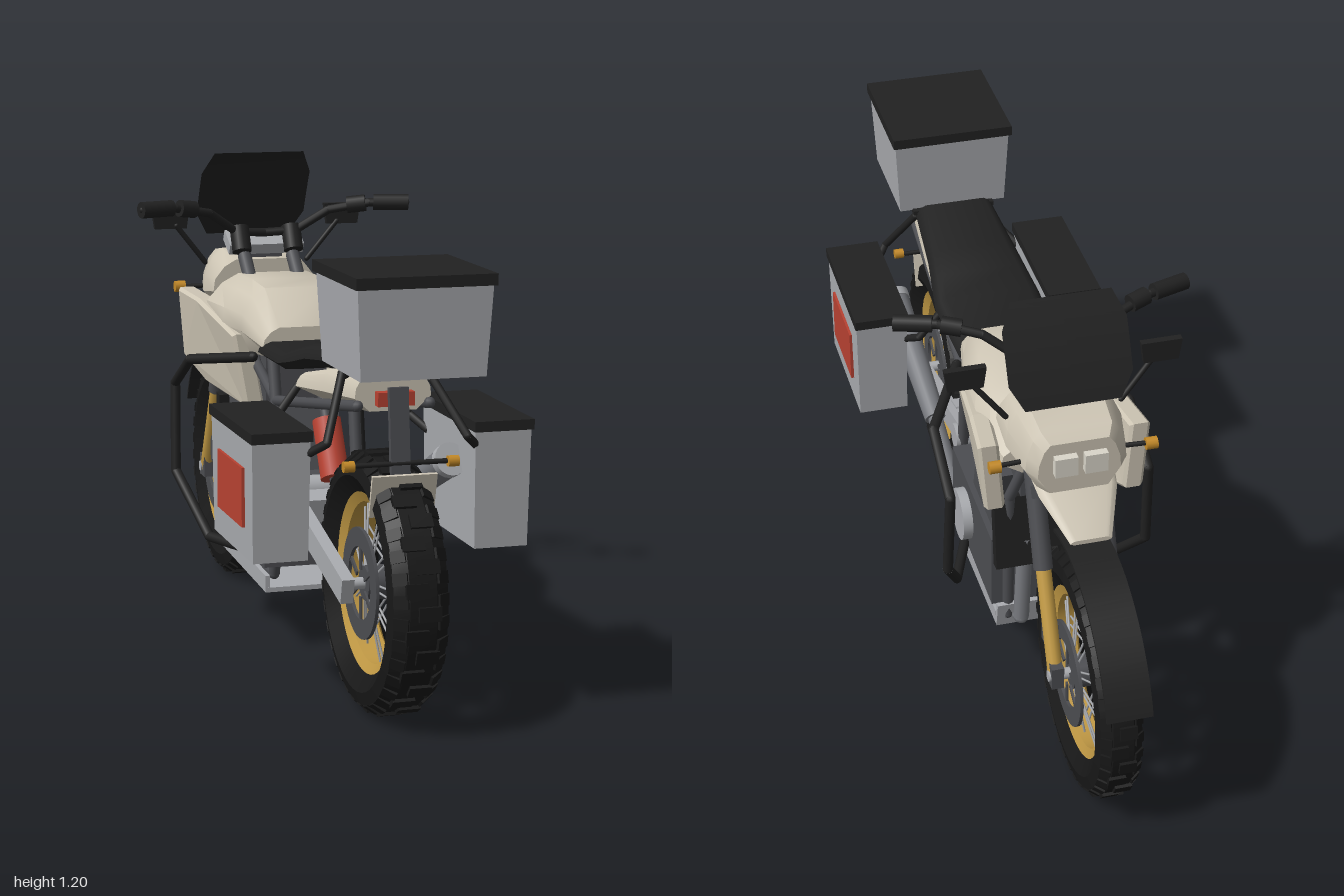
import * as THREE from 'three';
import { mergeGeometries, toCreasedNormals } from 'three/addons/utils/BufferGeometryUtils.js';

const V = (x, y, z) => new THREE.Vector3(x, y, z);
const mat = (name, color, side = THREE.FrontSide) => Object.assign(new THREE.MeshStandardMaterial({ color, side }), { name });

export function createModel() {
  const root = new THREE.Group();
  root.name = 'motorcycle';
  const M = {
    rubber: mat('tyre rubber', 0x181818),
    black: mat('black plastic', 0x212121, THREE.DoubleSide),
    cream: mat('cream paint', 0xcdc5b4),
    alloy: mat('aluminium', 0xa9abaf),
    steel: mat('steel', 0x77797e),
    dark: mat('dark metal', 0x4c4d51),
    gold: mat('gold', 0xc29a45),
    red: mat('red', 0xb84232),
    amber: mat('amber', 0xc48a28),
    lamp: mat('lamp glass', 0xdad6ca),
  };

  // helpers
  const add = (name, geo, m, parent = root) => {
    const mesh = new THREE.Mesh(geo, m);
    mesh.name = name;
    parent.add(mesh);
    return mesh;
  };
  const mirrored = (geo) => {
    const g = geo.index ? geo.toNonIndexed() : geo.clone();
    for (const key of ['position', 'normal']) {
      const a = g.attributes[key];
      for (let i = 0; i < a.count; i += 3) {
        const p = [0, 2, 1].map((k) => [-a.getX(i + k), a.getY(i + k), a.getZ(i + k)]);
        p.forEach((q, k) => a.setXYZ(i + k, ...q));
      }
    }
    return g;
  };
  const pair = (name, geo, m) => { add(name + 'Left', geo, m); add(name + 'Right', mirrored(geo), m); };
  const box = (w, h, d, x, y, z, rx = 0) => new THREE.BoxGeometry(w, h, d).rotateX(rx).translate(x, y, z);
  const rod = (a, b, r, r2 = r, seg = 12) => {
    const d = b.clone().sub(a);
    const q = new THREE.Quaternion().setFromUnitVectors(V(0, 1, 0), d.clone().normalize());
    const c = a.clone().add(b).multiplyScalar(0.5);
    return new THREE.CylinderGeometry(r2, r, d.length(), seg).applyQuaternion(q).translate(c.x, c.y, c.z);
  };
  // chain of straight tubes with ball joints
  const pipe = (pts, r) => {
    const v = pts.map((p) => V(...p)), gs = [];
    v.forEach((p, i) => {
      if (i) gs.push(rod(v[i - 1], p, r, r, 10));
      gs.push(new THREE.SphereGeometry(r, 10, 6).translate(p.x, p.y, p.z));
    });
    return mergeGeometries(gs);
  };
  // symmetric body from sections [z, yBottom, yTop, wBottom, wMid, wTop], z rising
  const loft = (secs, crease = 0.6) => {
    const rings = secs.map(([z, b, t, wb, wm, wt]) => {
      const h = t - b;
      const half = [[wb, b], [wm, b + h * 0.35], [wm * 0.97, b + h * 0.6], [(wm + wt) / 2, b + h * 0.86], [wt, t]];
      return [...half, ...half.slice().reverse().map(([x, y]) => [-x, y])].map(([x, y]) => [x, y, z]);
    });
    const pos = [], n = 10;
    const tri = (...ps) => ps.forEach((p) => pos.push(...p));
    for (let i = 0; i < rings.length - 1; i++) for (let j = 0; j < n; j++) {
      const k = (j + 1) % n, A = rings[i], B = rings[i + 1];
      tri(A[j], A[k], B[k]);
      tri(A[j], B[k], B[j]);
    }
    const F = rings[0], L = rings[rings.length - 1];
    for (let j = 1; j < n - 1; j++) { tri(F[0], F[j + 1], F[j]); tri(L[0], L[j], L[j + 1]); }
    const g = new THREE.BufferGeometry();
    g.setAttribute('position', new THREE.Float32BufferAttribute(pos, 3));
    g.computeVertexNormals();
    return toCreasedNormals(g, crease);
  };
  const taperBox = (w, h, d, s, x, y, z) => {
    const g = new THREE.BoxGeometry(w, h, d), p = g.attributes.position;
    for (let i = 0; i < p.count; i++) if (p.getY(i) < 0) p.setXYZ(i, p.getX(i) * s, p.getY(i), p.getZ(i) * s);
    g.computeVertexNormals();
    return g.translate(x, y, z);
  };
  const ring = (pts, seg = 48) => toCreasedNormals(
    new THREE.LatheGeometry([...pts, pts[0]].map(([r, x]) => new THREE.Vector2(r, x)), seg).rotateZ(Math.PI / 2), 0.5);
  const axle = (r, w, seg = 20) => new THREE.CylinderGeometry(r, r, w, seg).rotateZ(Math.PI / 2);

  // wheels
  const wheel = (name, z, w) => {
    const g = new THREE.Group();
    g.name = name;
    g.position.set(0, 0.307, z);
    root.add(g);
    add('tyre', ring([[0.208, -w * 0.6], [0.25, -w], [0.28, -w * 0.9], [0.299, -w * 0.45], [0.299, w * 0.45],
      [0.28, w * 0.9], [0.25, w], [0.208, w * 0.6]]), M.rubber, g);
    const blocks = [], spokes = [];
    for (let i = 0; i < 36; i++) {
      const a = (i / 36) * Math.PI * 2, s = i % 2 ? 1 : -1;
      blocks.push(box(w * 0.75, 0.012, 0.033, s * w * 0.2, 0.3, 0).rotateX(a));
      for (const t of [-1, 1]) blocks.push(new THREE.BoxGeometry(w * 0.5, 0.012, 0.028)
        .rotateZ(-t * 0.65).translate(t * w * 0.68, 0.287, 0).rotateX(a + 0.08));
      spokes.push(rod(V(s * 0.035, 0.035, 0), V(s * 0.008, 0.195, 0.02 * (i % 4 < 2 ? 1 : -1)), 0.0028, 0.0028, 5).rotateX(a));
    }
    add('treadBlocks', mergeGeometries(blocks), M.rubber, g);
    add('rim', ring([[0.187, -w * 0.45], [0.214, -w * 0.65], [0.214, w * 0.65], [0.187, w * 0.45]]), M.gold, g);
    add('spokes', mergeGeometries(spokes), M.alloy, g);
    add('hub', axle(0.04, 0.09), M.dark, g);
    add('axle', axle(0.014, 0.2), M.alloy, g);
    for (const s of [-1, 1]) {
      const x = s * 0.052;
      add('brakeDisc', ring([[0.085, x - 0.004], [0.13, x - 0.004], [0.13, x + 0.004], [0.085, x + 0.004]], 36), M.dark, g);
      const arms = [];
      for (let i = 0; i < 6; i++) arms.push(box(0.005, 0.06, 0.012, x, 0.062, 0).rotateX((i * Math.PI) / 3));
      add('discCarrier', mergeGeometries(arms), M.dark, g);
    }
  };
  wheel('frontWheel', -0.66, 0.055);
  wheel('rearWheel', 0.695, 0.07);

  // front fork and fender
  pair('forkUpper', rod(V(0.08, 0.88, -0.4), V(0.08, 0.54, -0.54), 0.024), M.dark);
  pair('forkLower', rod(V(0.08, 0.575, -0.525), V(0.08, 0.3, -0.66), 0.019), M.gold);
  pair('forkFoot', box(0.03, 0.06, 0.05, 0.08, 0.31, -0.655), M.dark);
  pair('brakeCaliper', box(0.03, 0.07, 0.05, 0.07, 0.37, -0.57), M.dark);
  add('forkBridge', box(0.19, 0.03, 0.06, 0, 0.72, -0.465, 0.4), M.dark);
  const arc = new THREE.Shape();
  arc.absarc(0.66, 0.31, 0.362, 0.36, 1.92, false);
  arc.absarc(0.66, 0.31, 0.354, 1.92, 0.36, true);
  add('frontFender', new THREE.ExtrudeGeometry(arc, { depth: 0.11, bevelEnabled: false, curveSegments: 24 })
    .rotateY(Math.PI / 2).translate(-0.055, 0, 0), M.black);

  // painted bodywork
  add('tank', loft([[-0.42, 0.74, 0.83, 0.1, 0.15, 0.07], [-0.36, 0.73, 0.86, 0.13, 0.17, 0.08], [-0.26, 0.73, 0.9, 0.14, 0.18, 0.09],
    [-0.12, 0.73, 0.902, 0.13, 0.17, 0.09], [-0.02, 0.73, 0.893, 0.12, 0.148, 0.085], [0.1, 0.735, 0.81, 0.1, 0.122, 0.08]]), M.cream);
  add('nose', loft([[-0.56, 0.775, 0.91, 0.07, 0.1, 0.07], [-0.53, 0.77, 0.93, 0.09, 0.122, 0.085], [-0.43, 0.77, 0.945, 0.1, 0.142, 0.09],
    [-0.33, 0.8, 0.925, 0.1, 0.14, 0.08]]), M.cream);
  add('beak', loft([[-0.665, 0.695, 0.706, 0.04, 0.05, 0.035], [-0.55, 0.755, 0.775, 0.085, 0.095, 0.07],
    [-0.43, 0.8, 0.84, 0.1, 0.11, 0.09]]), M.cream);
  const outline = [[-0.035, 0.77], [-0.29, 0.825], [-0.43, 0.835], [-0.43, 0.665], [-0.3, 0.615], [-0.035, 0.595]];
  const fairing = new THREE.ExtrudeGeometry(new THREE.Shape(outline.map(([z, y]) => new THREE.Vector2(-z, y)).reverse()),
    { depth: 0.035, bevelSize: 0.008, bevelThickness: 0.008, bevelSegments: 1 }).rotateY(Math.PI / 2);
  const fp = fairing.attributes.position;
  for (let i = 0; i < fp.count; i++)
    fp.setX(i, fp.getX(i) + 0.12 - 0.11 * fp.getZ(i) - 0.25 * Math.max(0, 0.72 - fp.getY(i)));
  fairing.computeVertexNormals();
  pair('sideFairing', fairing, M.cream);
  add('tailPanel', loft([[0.37, 0.695, 0.745, 0.08, 0.115, 0.09], [0.56, 0.705, 0.785, 0.08, 0.105, 0.08],
    [0.765, 0.72, 0.808, 0.055, 0.09, 0.06]]), M.cream);
  add('seat', loft([[0.08, 0.735, 0.775, 0.11, 0.13, 0.1], [0.3, 0.742, 0.785, 0.12, 0.14, 0.11], [0.38, 0.755, 0.808, 0.11, 0.13, 0.1],
    [0.46, 0.775, 0.828, 0.1, 0.12, 0.09], [0.66, 0.8, 0.852, 0.08, 0.105, 0.08]]), M.black);

  // lights and number plate
  pair('headlight', box(0.055, 0.05, 0.04, 0.036, 0.855, -0.56), M.lamp);
  add('tailLight', box(0.086, 0.032, 0.03, 0, 0.75, 0.775), M.red);
  pair('frontIndicatorStalk', rod(V(0.1, 0.835, -0.5), V(0.18, 0.835, -0.505), 0.006), M.black);
  pair('frontIndicator', rod(V(0.175, 0.835, -0.508), V(0.203, 0.835, -0.508), 0.015), M.amber);
  add('plateBracket', box(0.045, 0.2, 0.015, 0, 0.68, 0.81, -0.1), M.dark);
  add('rearIndicatorBar', rod(V(-0.12, 0.61, 0.82), V(0.12, 0.61, 0.82), 0.006), M.black);
  pair('rearIndicator', rod(V(0.11, 0.61, 0.825), V(0.135, 0.61, 0.825), 0.013), M.amber);
  add('numberPlate', box(0.152, 0.1, 0.008, 0, 0.542, 0.84, 0.25), M.cream);

  // windscreen
  const screen = new THREE.PlaneGeometry(2, 1, 2, 8), sp = screen.attributes.position;
  for (let i = 0; i < sp.count; i++) {
    const v = sp.getY(i) + 0.5;
    const w = v < 0.25 ? 0.115 + v * 0.13 : v < 0.75 ? 0.148 : 0.148 - (v - 0.75) * 0.11;
    sp.setXYZ(i, sp.getX(i) * w, 0.975 + 0.225 * v, -0.505 + 0.12 * v - 0.025 * v * (v - 1) * -1);
  }
  screen.computeVertexNormals();
  add('windscreen', screen, M.black);

  // handlebar, mirrors and cockpit
  pair('handlebar', pipe([[0, 0.995, -0.33], [0.08, 1.0, -0.32], [0.16, 1.055, -0.285], [0.26, 1.075, -0.245], [0.35, 1.076, -0.217]], 0.011), M.black);
  pair('grip', rod(V(0.27, 1.076, -0.242), V(0.357, 1.076, -0.214), 0.021), M.black);
  pair('switchBox', rod(V(0.205, 1.068, -0.265), V(0.25, 1.074, -0.248), 0.022), M.black);
  pair('mirror', taperBox(0.1, 0.055, 0.018, 0.85, 0.235, 1.03, -0.415), M.black);
  pair('mirrorStalk', pipe([[0.22, 1.01, -0.41], [0.14, 0.91, -0.42]], 0.007), M.black);
  pair('barRiser', rod(V(0.065, 0.87, -0.22), V(0.065, 0.94, -0.295), 0.018), M.dark);
  pair('barClamp', rod(V(0.07, 0.95, -0.3), V(0.07, 1.01, -0.33), 0.026), M.black);
  add('instrumentPanel', box(0.2, 0.03, 0.07, 0, 0.97, -0.345, 0.5), M.alloy);
  add('instrumentMount', box(0.1, 0.1, 0.03, 0, 0.92, -0.36), M.dark);

  // engine
  add('crankcase', box(0.27, 0.205, 0.41, 0, 0.318, -0.05), M.dark);
  const block = new THREE.BoxGeometry(0.24, 0.2, 0.19), bp = block.attributes.position;
  for (let i = 0; i < bp.count; i++) bp.setZ(i, bp.getZ(i) - bp.getY(i) * 0.3);
  block.computeVertexNormals();
  add('cylinderBlock', block.translate(0, 0.515, -0.135), M.dark);
  pair('engineCover', axle(0.068, 0.03, 28).translate(0.145, 0.318, 0), M.alloy);
  add('radiator', box(0.28, 0.2, 0.03, 0, 0.48, -0.3, 0.12), M.black);
  add('underTankCore', box(0.16, 0.14, 0.3, 0, 0.67, -0.18), M.dark);
  add('skidPlate', box(0.26, 0.012, 0.43, 0, 0.165, -0.065, 0.04), M.alloy);
  add('skidPlateFront', box(0.26, 0.075, 0.012, 0, 0.205, -0.285, -0.2), M.alloy);
  pair('skidPlateEdge', box(0.012, 0.04, 0.43, 0.125, 0.182, -0.065, 0.04), M.alloy);

  // frame, swingarm, shock and exhaust
  pair('subframe', pipe([[0.085, 0.735, 0.77], [0.1, 0.635, 0.14], [0.1, 0.7, -0.05], [0.05, 0.84, -0.38]], 0.013), M.dark);
  pair('seatPost', pipe([[0.1, 0.75, 0.11], [0.1, 0.635, 0.14], [0.1, 0.4, 0.18]], 0.015), M.dark);
  pair('downTube', pipe([[0.06, 0.75, -0.36], [0.1, 0.58, -0.3], [0.1, 0.2, -0.28], [0.1, 0.19, 0.12], [0.1, 0.4, 0.18]], 0.014), M.dark);
  pair('swingarm', box(0.03, 0.06, 0.56, 0.095, 0.365, 0.46, 0.24), M.alloy);
  add('swingarmPivot', axle(0.035, 0.24).translate(0, 0.42, 0.2), M.alloy);
  add('swingarmBridge', box(0.18, 0.06, 0.06, 0, 0.405, 0.32, 0.24), M.alloy);
  add('shock', rod(V(0, 0.47, 0.315), V(0, 0.6, 0.24), 0.036), M.red);
  add('shockRod', rod(V(0, 0.4, 0.355), V(0, 0.69, 0.19), 0.014), M.dark);
  add('exhaustPipe', pipe([[0.06, 0.45, -0.3], [0.07, 0.2, -0.3], [0.09, 0.155, -0.07], [0.12, 0.25, 0.17], [0.145, 0.42, 0.34]], 0.02), M.steel);
  add('muffler', rod(V(0.142, 0.4, 0.32), V(0.172, 0.575, 0.66), 0.028, 0.038, 20), M.steel);
  add('mufflerCap', rod(V(0.171, 0.57, 0.65), V(0.173, 0.58, 0.67), 0.04, 0.04, 20), M.alloy);

  // crash bars
  pair('crashBar', pipe([[0.14, 0.735, 0.07], [0.25, 0.7, -0.14], [0.25, 0.61, -0.31], [0.255, 0.38, -0.29],
    [0.2, 0.23, -0.15], [0.13, 0.23, 0.03]], 0.013), M.black);

  // luggage and carriers
  pair('pannierCarrierRear', pipe([[0.1, 0.8, 0.7], [0.165, 0.66, 0.8], [0.2, 0.63, 0.76]], 0.01), M.black);
  pair('pannierCarrierFront', pipe([[0.1, 0.72, 0.36], [0.17, 0.63, 0.37], [0.2, 0.6, 0.42]], 0.01), M.black);
  pair('pannier', taperBox(0.135, 0.28, 0.37, 0.95, 0.262, 0.527, 0.588), M.alloy);
  pair('pannierLid', box(0.143, 0.024, 0.388, 0.262, 0.674, 0.588), M.black);
  pair('pannierPanel', box(0.009, 0.137, 0.222, 0.3305, 0.526, 0.59), M.red);
  add('topCase', taperBox(0.308, 0.205, 0.315, 0.93, 0, 0.93, 0.833), M.alloy);
  add('topCaseLid', box(0.32, 0.026, 0.335, 0, 1.042, 0.8325), M.black);
  add('topCaseRack', box(0.22, 0.012, 0.26, 0, 0.825, 0.8), M.black);
  pair('rackStrut', pipe([[0.085, 0.825, 0.74], [0.08, 0.76, 0.62]], 0.01), M.black);

  return root;
}
